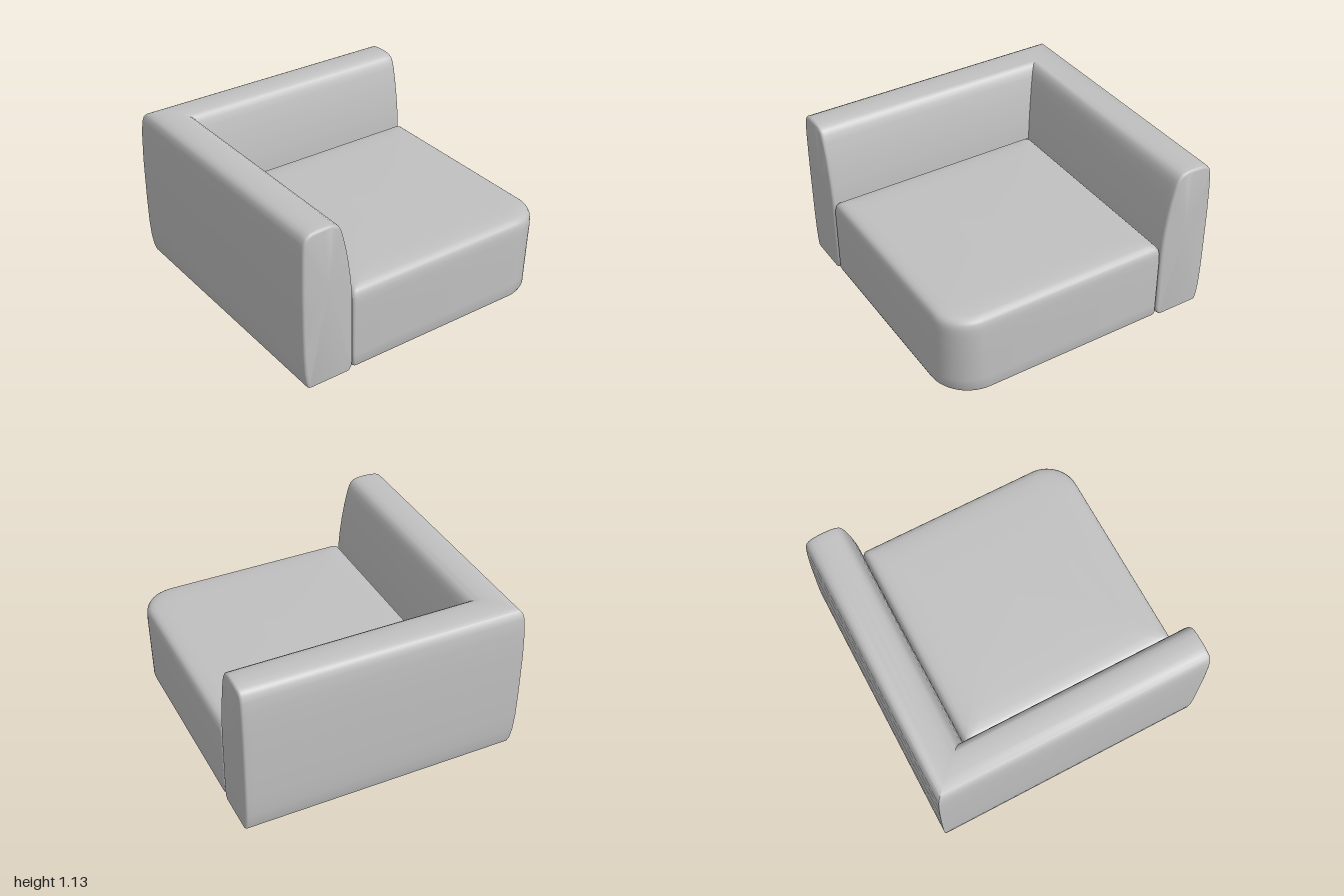
import * as THREE from 'three';
import { toCreasedNormals } from 'three/addons/utils/BufferGeometryUtils.js';

// Skin a stack of equal-length closed rings and close both ends with fans.
function loft(rings) {
  const n = rings[0].length, pos = [], idx = [];
  rings.forEach(r => r.forEach(p => pos.push(p.x, p.y, p.z)));
  for (let i = 0; i < rings.length - 1; i++) {
    for (let j = 0; j < n; j++) {
      const k = (j + 1) % n, a = i * n, b = a + n;
      idx.push(a + j, a + k, b + k, a + j, b + k, b + j);
    }
  }
  const cap = (i, flip) => {
    const c = rings[i].reduce((s, p) => s.add(p), new THREE.Vector3()).divideScalar(n);
    const m = pos.length / 3;
    pos.push(c.x, c.y, c.z);
    for (let j = 0; j < n; j++) {
      const a = i * n + j, b = i * n + (j + 1) % n;
      idx.push(m, flip ? b : a, flip ? a : b);
    }
  };
  cap(0, true);
  cap(rings.length - 1, false);
  const g = new THREE.BufferGeometry();
  g.setAttribute('position', new THREE.Float32BufferAttribute(pos, 3));
  g.setIndex(idx);
  return toCreasedNormals(g, 0.7);
}

// Backrest section: [distance from the outer face, height].
const SECTION = [
  [0.03, 0], [0.018, 0.04], [0.008, 0.12], [0.002, 0.25], [0, 0.45], [0, 0.75], [0.005, 0.95],
  [0.012, 1.05], [0.022, 1.09], [0.038, 1.112], [0.065, 1.126], [0.11, 1.133], [0.16, 1.135],
  [0.21, 1.132], [0.245, 1.124], [0.27, 1.107], [0.288, 1.075], [0.302, 1.03], [0.325, 0.93],
  [0.345, 0.82], [0.36, 0.71], [0.369, 0.62], [0.373, 0.52], [0.374, 0.35], [0.374, 0.06],
  [0.368, 0.02], [0.352, 0],
];

// L-shaped arm and backrest with a mitred corner and softened ends.
function backrestGeometry() {
  const r = 0.02, steps = 4, end = 0.997;
  const section = (inset, place) => SECTION.map(([d, y]) => place(
    0.187 + (d - 0.187) * (1 - inset / 0.187),
    y * (1 - inset / 1.135)));
  const ends = [];
  for (let i = 0; i <= steps; i++) {
    const a = (i / steps) * Math.PI / 2;
    ends.push([r * (1 - Math.sin(a)), end - r + r * Math.cos(a)]);
  }
  ends.push([0, end - 0.06]);
  const arm = ends.map(([inset, s]) => section(inset, (d, y) => new THREE.Vector3(-1 + d, y, s)));
  const mitre = section(0, (d, y) => new THREE.Vector3(-1 + d, y, -1 + d));
  const back = ends.map(([inset, s]) => section(inset, (d, y) => new THREE.Vector3(s, y, -1 + d)));
  return loft([...arm, mitre, ...back.reverse()]);
}

// Rounded square outline; the front left corner has its own large radius.
function seatRing(inset, y, bigRadius) {
  const lo = -0.622 + inset, hi = 0.995 - inset, seg = 14, pts = [];
  const small = 0.02 + inset * 0.3;
  const corners = [
    [hi, lo, small, 0], [lo, lo, small, 1], [lo, hi, small, 2], [hi, hi, bigRadius, 3],
  ];
  for (const [x, z, r, q] of corners) {
    const cx = x === hi ? x - r : x + r, cz = z === hi ? z - r : z + r;
    for (let i = 0; i <= seg; i++) {
      const a = (q + i / seg) * Math.PI / 2;
      pts.push(new THREE.Vector3(cx + r * Math.cos(a), y, cz - r * Math.sin(a)));
    }
  }
  return pts;
}

// Seat block: nearly straight sides and a softly crowned top.
function seatGeometry() {
  return loft([
    [0.02, 0.003, 0.27], [0.006, 0.008, 0.28], [0, 0.025, 0.28], [0, 0.1, 0.275],
    [0, 0.3, 0.26], [0, 0.48, 0.245], [0.002, 0.53, 0.24], [0.007, 0.56, 0.235],
    [0.017, 0.58, 0.23], [0.033, 0.593, 0.225], [0.06, 0.601, 0.215], [0.11, 0.607, 0.2],
    [0.2, 0.61, 0.18], [0.4, 0.612, 0.14],
  ].map(([inset, y, r]) => seatRing(inset, y, r)));
}

export function createModel() {
  const group = new THREE.Group();
  group.name = 'cornerSofa';
  const fabric = new THREE.MeshStandardMaterial({ color: 0xc0c0c0 });
  fabric.name = 'greyFabric';
  const add = (name, geometry) => {
    const mesh = new THREE.Mesh(geometry, fabric);
    mesh.name = name;
    group.add(mesh);
  };
  add('backrest', backrestGeometry());
  add('seat', seatGeometry());
  return group;
}
